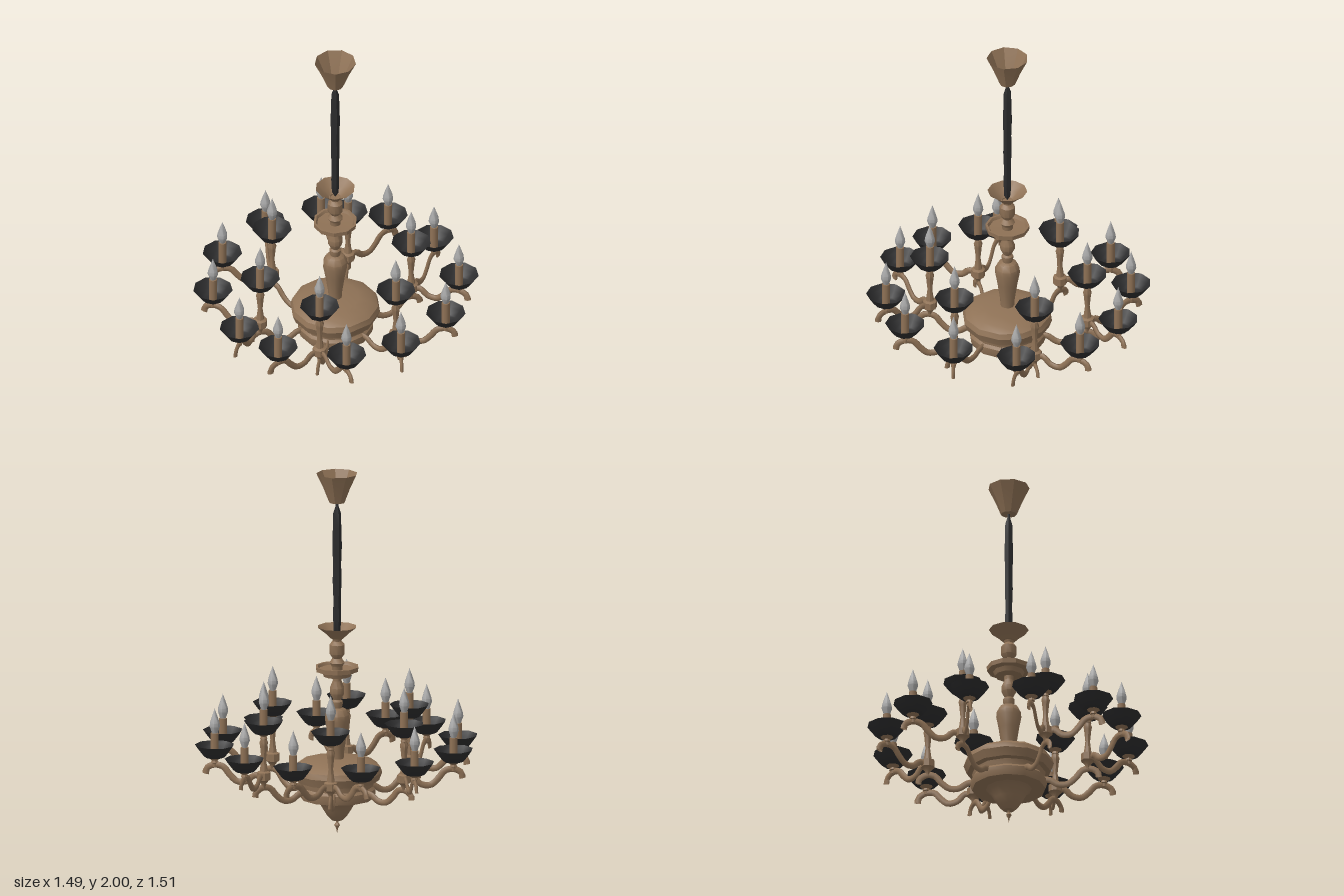
import * as THREE from 'three';
import { toCreasedNormals } from 'three/addons/utils/BufferGeometryUtils.js';

const material = (name, color, side = THREE.FrontSide) => {
  const m = new THREE.MeshStandardMaterial({ color, side });
  m.name = name;
  return m;
};

export function createModel() {
  const bronze = material('bronze', 0x8f7256, THREE.DoubleSide);
  const black = material('black', 0x2c2c2d, THREE.DoubleSide);
  const glass = material('bulb grey', 0xa6a6a6);

  const model = new THREE.Group();
  model.name = 'chandelier';

  const add = (parent, name, geometry, mat) => {
    const mesh = new THREE.Mesh(geometry, mat);
    mesh.name = name;
    parent.add(mesh);
    return mesh;
  };
  // Profile points are [radius, height], from bottom to top
  const lathe = (points, sides, crease = 0.62) =>
    toCreasedNormals(new THREE.LatheGeometry(points.map(p => new THREE.Vector2(...p)), sides), crease);
  // Scroll drawn in the x-y plane, flattened sideways into a strap
  const scroll = points => {
    const curve = new THREE.CatmullRomCurve3(points.map(([x, y]) => new THREE.Vector3(x, y, 0)));
    return new THREE.TubeGeometry(curve, 20, 0.019, 6).scale(1, 1, 0.5);
  };

  // Central bowl, pointed underside and finial
  add(model, 'bowl', lathe([
    [0, 0.07], [0.03, 0.075], [0.055, 0.10], [0.08, 0.14], [0.105, 0.185], [0.125, 0.2],
    [0.2, 0.2], [0.208, 0.225], [0.208, 0.25], [0.195, 0.265], [0.2, 0.295],
    [0.228, 0.3], [0.245, 0.345], [0.235, 0.375], [0.2, 0.4], [0.13, 0.415], [0, 0.42],
  ], 12), bronze);
  add(model, 'finial', lathe([
    [0, 0], [0.006, 0.03], [0.016, 0.047], [0.006, 0.062], [0.01, 0.08],
  ], 6), bronze);

  // Turned column with its open dish and funnel
  add(model, 'column', lathe([
    [0.036, 0.4], [0.04, 0.46], [0.055, 0.56], [0.068, 0.63], [0.066, 0.66], [0.05, 0.69],
    [0.027, 0.7], [0.032, 0.72], [0.032, 0.735], [0.022, 0.745], [0.04, 0.78], [0.04, 0.81],
    [0.024, 0.85], [0.03, 0.89], [0.03, 0.93], [0.042, 0.95], [0.025, 0.975], [0.042, 1.0],
    [0.042, 1.05], [0.024, 1.07], [0.03, 1.09],
  ], 10, 0.7), bronze);
  add(model, 'dish', lathe([
    [0.02, 0.87], [0.075, 0.875], [0.085, 0.9], [0.118, 0.905], [0.12, 0.93], [0.108, 0.93], [0.1, 0.915], [0.02, 0.91],
  ], 10), bronze);
  add(model, 'funnel', lathe([[0, 1.08], [0.035, 1.085], [0.065, 1.115], [0.108, 1.15]], 10), bronze);

  // Hanging cord, slightly uneven
  add(model, 'cord', lathe([
    [0, 1.09], [0.018, 1.12], [0.022, 1.2], [0.02, 1.3], [0.024, 1.4], [0.022, 1.5],
    [0.026, 1.6], [0.023, 1.7], [0.021, 1.78], [0.008, 1.82], [0.006, 1.86],
  ], 6, 0.9), black);

  // Ceiling cup
  add(model, 'ceilingCup', lathe([[0, 1.84], [0.043, 1.84], [0.075, 1.92], [0.113, 2.0]], 9), bronze);

  // Lamp shapes, measured from the foot of the drip pan
  const panGeo = lathe([[0, 0], [0.05, 0.004], [0.062, 0.012], [0.088, 0.045], [0.108, 0.073]], 9);
  const candleGeo = new THREE.CylinderGeometry(0.022, 0.022, 0.135, 8).translate(0, 0.07, 0);
  const bulbGeo = lathe([
    [0, 0.135], [0.016, 0.138], [0.029, 0.175], [0.027, 0.195], [0.014, 0.235], [0.004, 0.262], [0, 0.275],
  ], 7, 0.9);
  const cupGeo = lathe([[0.012, -0.03], [0.02, -0.025], [0.016, -0.012], [0.036, 0.002]], 8);
  const addLamp = (x, y, z) => {
    const lamp = new THREE.Group();
    lamp.name = 'lamp';
    lamp.position.set(x, y, z);
    add(lamp, 'dripPan', panGeo, black);
    add(lamp, 'candle', candleGeo, bronze);
    add(lamp, 'bulb', bulbGeo, glass);
    add(lamp, 'cup', cupGeo, bronze);
    model.add(lamp);
  };

  // Arm shapes
  const mainArmGeo = scroll([
    [0.17, 0.245], [0.22, 0.245], [0.27, 0.215], [0.32, 0.215], [0.365, 0.25],
    [0.4, 0.292], [0.445, 0.3], [0.485, 0.275], [0.49, 0.25],
  ]);
  const branchGeo = scroll([
    [0.01, 0.36], [0.05, 0.365], [0.09, 0.33], [0.14, 0.325], [0.18, 0.36],
    [0.215, 0.402], [0.26, 0.41], [0.3, 0.39], [0.308, 0.358],
  ]);
  const stemGeo = lathe([
    [0.01, 0.295], [0.014, 0.32], [0.03, 0.34], [0.038, 0.345], [0.038, 0.385], [0.022, 0.392],
    [0.018, 0.42], [0.013, 0.46], [0.02, 0.53], [0.024, 0.55], [0.014, 0.575], [0.02, 0.6],
  ], 8);
  const pinGeo = new THREE.CylinderGeometry(0.014, 0.014, 0.05, 6).translate(0, 0.425, 0);

  // Each arm: hub position, then the two outer lamps, as [x, z]
  const arms = [
    [[0.43, 0.01], [0.64, -0.16], [0.62, 0.2]],
    [[0.2, 0.38], [0.46, 0.47], [0.13, 0.65]],
    [[-0.21, 0.385], [-0.14, 0.65], [-0.47, 0.47]],
    [[-0.44, 0], [-0.64, 0.18], [-0.64, -0.19]],
    [[-0.22, -0.38], [-0.48, -0.47], [-0.16, -0.65]],
    [[0.22, -0.38], [0.16, -0.65], [0.48, -0.47]],
  ];
  for (const [[hx, hz], ...tips] of arms) {
    add(model, 'mainArm', mainArmGeo, bronze).rotation.y = Math.atan2(-hz, hx);
    add(model, 'stem', stemGeo, bronze).position.set(hx, 0, hz);
    addLamp(hx, 0.597, hz);
    for (const [x, z] of tips) {
      const branch = add(model, 'branchArm', branchGeo, bronze);
      branch.position.set(hx, 0, hz);
      branch.rotation.y = Math.atan2(hz - z, x - hx);
      branch.scale.x = Math.hypot(x - hx, z - hz) / 0.26;
      add(model, 'pin', pinGeo, bronze).position.set(x, 0, z);
      addLamp(x, 0.447, z);
    }
  }
  return model;
}
